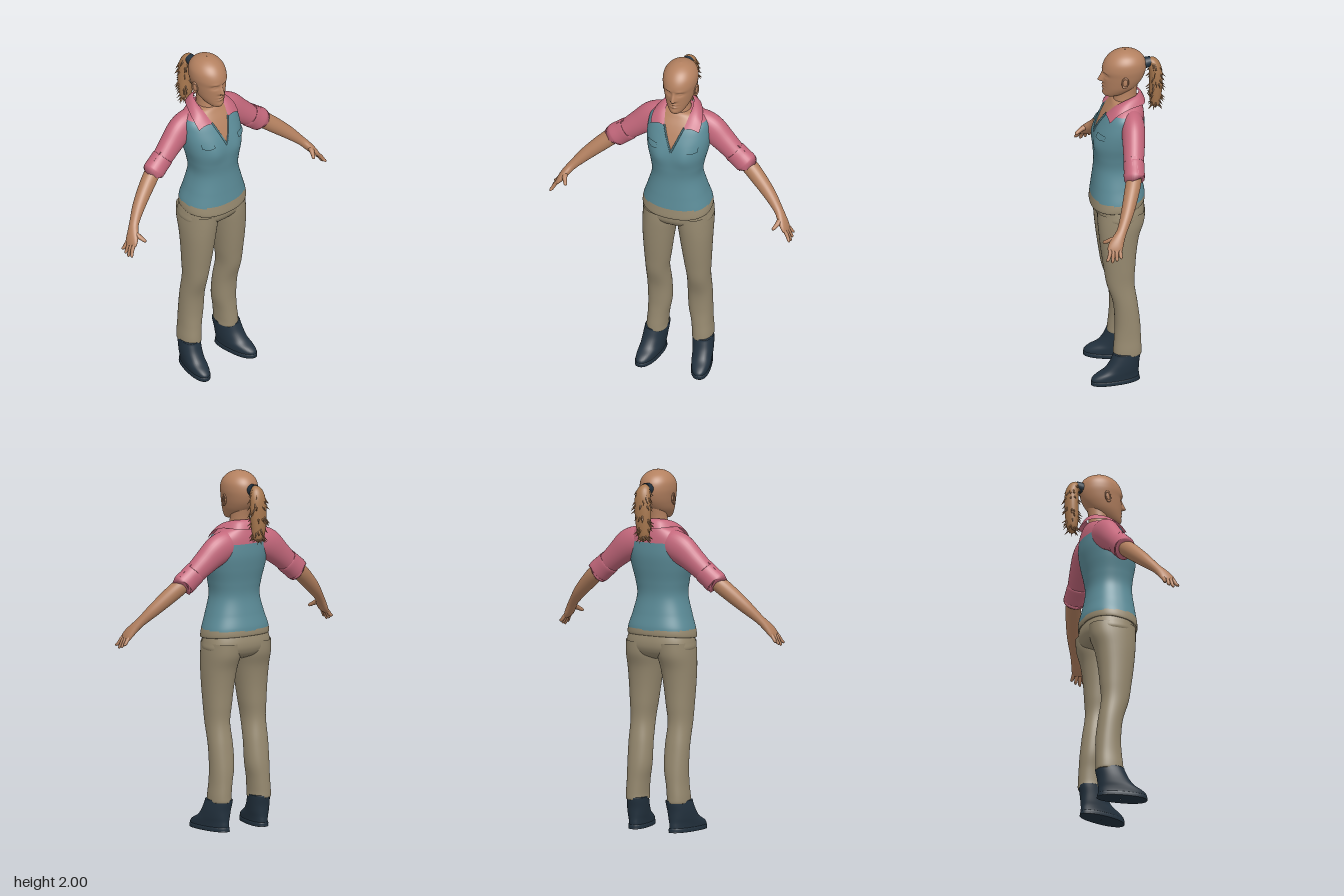
import * as THREE from 'three';
import { mergeGeometries, mergeVertices } from 'three/addons/utils/BufferGeometryUtils.js';

const mat = (name, color) => {
  const m = new THREE.MeshStandardMaterial({ color, side: THREE.DoubleSide });
  m.name = name;
  return m;
};
const V = (x, y, z) => new THREE.Vector3(x, y, z);
const bell = (d, s) => Math.exp(-(d * d) / (s * s));

// Smooth interpolation through rows of numbers; t runs from 0 to keys.length - 1
function spline(keys, t) {
  const n = keys.length - 1, i = Math.min(Math.floor(t), n - 1), f = t - i;
  const k = (j) => keys[Math.max(0, Math.min(n, j))];
  const [a, b, c, d] = [k(i - 1), k(i), k(i + 1), k(i + 2)];
  return b.map((p, j) => p + 0.5 * f * (c[j] - a[j] + f * (2 * a[j] - 5 * p + 4 * c[j] - d[j]
    + f * (3 * (p - c[j]) + d[j] - a[j]))));
}

// Grid surface from a point rule; paint(centre) picks a material group
function surface(fn, nu, nv, wrap = true, paint = null) {
  const pos = [], lists = [[], [], [], []], cols = wrap ? nu : nu + 1;
  for (let j = 0; j <= nv; j++) for (let i = 0; i < cols; i++) pos.push(fn(i / nu, j / nv));
  for (let j = 0; j < nv; j++) for (let i = 0; i < nu; i++) {
    const a = j * cols + i, b = j * cols + (i + 1) % cols, c = b + cols, d = a + cols;
    const mid = pos[a].clone().add(pos[c]).multiplyScalar(0.5);
    lists[paint ? paint(mid) : 0].push(a, b, c, a, c, d);
  }
  const g = new THREE.BufferGeometry().setFromPoints(pos);
  g.setIndex(lists.flat());
  if (paint) {
    let start = 0;
    lists.forEach((l, m) => { if (l.length) g.addGroup(start, l.length, m); start += l.length; });
  }
  g.computeVertexNormals();
  return g;
}

// Horizontal ring point; keys are [y, centreX, halfWidth, frontZ, backZ]
function ringPoint(keys, angle, t, p = 2) {
  const [y, cx, hw, zf, zb] = spline(keys, t);
  const pow = (q) => Math.sign(q) * Math.abs(q) ** (2 / p);
  return V(cx + hw * pow(Math.sin(angle)), Math.max(0, y), (zf + zb) / 2 + (zf - zb) / 2 * pow(Math.cos(angle)));
}
const rings = (keys, nu, sub, { p = 2, warp = (q) => q, paint } = {}) => surface(
  (u, v) => warp(ringPoint(keys, u * Math.PI * 2, v * (keys.length - 1), p)), nu, sub * (keys.length - 1), true, paint);

// Tapered limb along a path; keys are [x, y, z, thickness, depth]
function limb(keys, nu = 20, sub = 6) {
  const n = keys.length - 1;
  return surface((u, v) => {
    const t = v * n, k = spline(keys, t), a = u * Math.PI * 2;
    const dir = V(...spline(keys, Math.min(n, t + 0.02))).sub(V(...spline(keys, Math.max(0, t - 0.02)))).normalize();
    const Z = V(0, 0, 1).addScaledVector(dir, -dir.z).normalize(), X = dir.clone().cross(Z);
    return V(k[0], k[1], k[2]).addScaledVector(X, k[3] * Math.sin(a)).addScaledVector(Z, k[4] * Math.cos(a));
  }, nu, sub * n);
}

function mirrored(geo) {
  const g = geo.index ? geo.clone() : mergeVertices(geo);
  g.scale(-1, 1, 1);
  const ix = g.index.array;
  for (let i = 0; i < ix.length; i += 3) [ix[i], ix[i + 1]] = [ix[i + 1], ix[i]];
  return g;
}

export function createModel() {
  const group = new THREE.Group();
  const skin = mat('skin', 0xb48160), hair = mat('hair', 0xa8784f), pink = mat('pink cloth', 0xc4687c);
  const teal = mat('teal cloth', 0x5b8b97), khaki = mat('khaki cloth', 0x978a70), navy = mat('navy leather', 0x23323f);
  const add = (name, geo, m) => {
    const mesh = new THREE.Mesh(geo, m);
    mesh.name = name;
    group.add(mesh);
  };
  const pair = (name, geo, m) => { add(name + 'Left', geo, m); add(name + 'Right', mirrored(geo), m); };

  // Shirt body with hem band, pink yoke and open neck
  const torso = [[1.085, 0, .17, .175, -.08], [1.075, 0, .193, .198, -.1], [1.12, 0, .19, .197, -.1],
    [1.2, 0, .165, .186, -.085], [1.3, 0, .14, .176, -.068], [1.38, 0, .149, .178, -.075],
    [1.46, 0, .168, .179, -.09], [1.53, 0, .177, .165, -.1], [1.59, 0, .175, .14, -.1],
    [1.635, 0, .165, .115, -.096], [1.67, 0, .13, .09, -.088], [1.69, 0, .09, .075, -.08], [1.7, 0, .05, .06, -.065]];
  const shape = (q) => {
    if (q.z > 0.05) q.z += 0.012 * bell(Math.abs(q.x) - 0.08, 0.05) * bell(q.y - 1.46, 0.07);
    q.y -= (q.z - 0.05) * 0.1 * Math.max(0, Math.min(1, (1.2 - q.y) / 0.08));
    return q;
  };
  const shirtPaint = (q) => {
    if (q.y < 1.12) return 1;
    if (q.z > 0.02 && q.y > 1.5 && Math.abs(q.x) < (q.y - 1.5) * 0.41) return 2;
    return q.y > (q.z < 0 ? 1.605 : 1.65) ? 3 : 0;
  };
  add('shirt', rings(torso, 120, 10, { p: 2.3, warp: shape, paint: shirtPaint }), [teal, khaki, skin, pink]);

  // Chest pocket flaps that follow the shirt
  pair('pocketFlap', surface((u, v) => {
    const q = shape(ringPoint(torso, 0.4 + 0.48 * u, 6.72 + 0.42 * v - 0.1 * Math.sin(u * Math.PI) * (1 - v), 2.3));
    return q.add(V(0.004, 0, 0.007));
  }, 12, 4, false), teal);

  // Neckline edge
  pair('necklineEdge', new THREE.TubeGeometry(new THREE.CatmullRomCurve3(
    [V(.057, 1.64, .115), V(.026, 1.563, .155), V(0, 1.5, .175)]), 12, .005, 6), teal);

  // Folded collar, from the nape to the front points
  const inner = [[0, 1.735, -.072], [.05, 1.735, -.052], [.071, 1.722, 0], [.069, 1.69, .062], [.055, 1.632, .12]];
  const outer = [[0, 1.685, -.106], [.075, 1.69, -.09], [.122, 1.69, -.01], [.142, 1.662, .06], [.14, 1.618, .105]];
  pair('collar', surface((u, v) => {
    const q = V(...spline(inner, u * 4)).lerp(V(...spline(outer, u * 4)), v);
    q.y += 0.012 * Math.sin(v * Math.PI);
    return q;
  }, 24, 6, false), pink);

  // Sleeves with rolled cuffs and tabs
  pair('sleeve', limb([[.05, 1.6, -.02, .07, .055], [.11, 1.595, -.023, .083, .063], [.17, 1.57, -.022, .084, .064],
    [.24, 1.515, -.015, .07, .06], [.31, 1.455, -.006, .06, .055], [.35, 1.425, -.003, .058, .053]], 32, 6), pink);
  pair('sleeveCuff', limb([[.305, 1.46, -.006, .056, .05], [.308, 1.457, -.006, .065, .057],
    [.34, 1.431, -.004, .065, .057], [.372, 1.405, -.001, .066, .058], [.375, 1.402, -.001, .062, .055],
    [.37, 1.406, -.001, .042, .04]], 32, 4), pink);
  const tab = new THREE.BoxGeometry(.1, .008, .03);
  tab.rotateZ(-.68).translate(.371, 1.482, -.004);
  pair('sleeveTab', tab, pink);

  // Forearm, palm, fingers and thumb
  pair('forearm', limb([[.33, 1.445, -.003, .045, .043], [.39, 1.396, .005, .046, .043], [.45, 1.345, .025, .044, .041],
    [.53, 1.272, .058, .036, .035], [.595, 1.205, .094, .025, .028], [.625, 1.168, .118, .023, .034],
    [.648, 1.135, .137, .019, .041], [.664, 1.11, .147, .011, .036], [.667, 1.105, .148, .001, .01]], 28, 6), skin);
  const fingers = [[.112, .113, 1.078], [.132, .137, 1.064], [.151, .162, 1.056], [.169, .19, 1.066]];
  pair('fingers', mergeGeometries(fingers.map(([z0, z1, y]) => limb([[.652, 1.13, z0, .009, .009],
    [.67, 1.108, z0 + .002, .0105, .0105], [.684, (1.1 + y) / 2, (z0 + z1) / 2, .0095, .0095],
    [.691, y + .008, z1 - .002, .0075, .0075], [.691, y, z1, .001, .001]], 10, 4))), skin);
  pair('thumb', limb([[.622, 1.175, .125, .012, .012], [.62, 1.162, .155, .015, .014], [.61, 1.149, .18, .011, .011],
    [.602, 1.14, .195, .009, .009], [.599, 1.136, .202, .001, .001]], 12, 4), skin);

  // Neck
  add('neck', rings([[1.6, 0, .078, .085, -.08], [1.68, 0, .06, .07, -.064], [1.74, 0, .052, .056, -.06],
    [1.82, 0, .052, .055, -.075]], 40, 6), skin);

  // Head, with sockets, nose, lips and chin pushed out of its front
  const head = [[1.722, 0, .004, .1, .07], [1.726, 0, .03, .117, .04], [1.745, 0, .05, .124, -.01],
    [1.78, 0, .07, .124, -.058], [1.82, 0, .082, .126, -.09], [1.86, 0, .09, .127, -.107], [1.9, 0, .095, .128, -.113],
    [1.94, 0, .09, .112, -.105], [1.972, 0, .069, .083, -.08], [1.992, 0, .037, .045, -.04], [2, 0, .002, .005, .001]];
  const face = (q) => {
    if (q.z < 0.04) return q;
    const ax = Math.abs(q.x), ramp = Math.max(0, Math.min(1, (1.878 - q.y) / 0.055));
    const nose = q.y > 1.823 ? ramp : bell(q.y - 1.823, 0.009);
    q.z += 0.03 * nose * bell(ax, 0.008 + 0.007 * ramp)
      - 0.011 * bell(ax - 0.034, 0.02) * bell(q.y - 1.862, 0.013)
      + 0.005 * bell(ax - 0.034, 0.011) * bell(q.y - 1.86, 0.006)
      + 0.004 * bell(ax - 0.035, 0.025) * bell(q.y - 1.883, 0.009)
      + 0.007 * bell(ax, 0.02) * (bell(q.y - 1.792, 0.007) + bell(q.y - 1.776, 0.007))
      - 0.004 * bell(ax, 0.022) * bell(q.y - 1.784, 0.003)
      + 0.005 * bell(ax, 0.02) * bell(q.y - 1.745, 0.014);
    return q;
  };
  add('head', rings(head, 128, 10, { warp: face }), skin);

  // Ears
  const lobe = new THREE.SphereGeometry(1, 16, 12).scale(.008, .028, .016);
  const rim = new THREE.TorusGeometry(.022, .005, 8, 20).scale(.75, 1.3, 1).rotateY(Math.PI / 2).translate(.005, 0, 0);
  pair('ear', mergeGeometries([lobe, rim]).rotateY(-.3).rotateX(-.15).translate(.09, 1.84, .012), skin);

  // Hair tie and ponytail with loose tufts
  const tie = new THREE.CylinderGeometry(.027, .032, .04, 20).rotateX(-1.35).translate(-.005, 1.91, -.122);
  add('hairTie', tie, navy);
  const tail = [[-.005, 1.915, -.125, .018, .018], [-.005, 1.905, -.15, .03, .036], [-.005, 1.86, -.165, .036, .046],
    [-.008, 1.78, -.168, .036, .048], [-.01, 1.7, -.165, .034, .042], [-.01, 1.645, -.165, .024, .03],
    [-.01, 1.62, -.168, .002, .002]];
  const tailGeo = limb(tail.map(([x, y, z, w, d]) => [x, y, z, d, w]), 24, 6);
  add('ponytail', tailGeo, hair);
  let seed = 7;
  const rand = () => (seed = (seed * 16807) % 2147483647) / 2147483647;
  const tufts = [];
  for (let i = 0; i < 70; i++) {
    const [x, y, z, w, d] = spline(tail, 1 + 4.4 * rand()), a = rand() * Math.PI * 2;
    const dir = V(Math.sin(a), -1.6 + 0.9 * rand(), Math.cos(a)).normalize();
    const cone = new THREE.ConeGeometry(.008, .045, 5).translate(0, .01, 0);
    cone.applyQuaternion(new THREE.Quaternion().setFromUnitVectors(V(0, 1, 0), dir));
    tufts.push(cone.translate(x + d * .93 * Math.sin(a), y, z + w * .93 * Math.cos(a)));
  }
  add('ponytailTufts', mergeGeometries(tufts), hair);

  // Trousers: hips and two legs
  add('hips', rings([[.95, 0, .06, .08, -.01], [.975, 0, .15, .14, -.07], [1.01, 0, .195, .168, -.094],
    [1.05, 0, .194, .174, -.099], [1.1, 0, .182, .178, -.09]], 64, 6, { p: 2.4 }), khaki);
  pair('trouserLeg', rings([[.172, .13, .045, .07, -.055], [.165, .131, .057, .084, -.069], [.2, .131, .058, .084, -.07],
    [.27, .125, .059, .078, -.068], [.36, .117, .066, .075, -.064], [.48, .117, .067, .085, -.05],
    [.6, .119, .064, .12, -.033], [.7, .115, .073, .136, -.038], [.8, .111, .082, .15, -.046],
    [.9, .106, .091, .161, -.062], [.98, .1, .097, .167, -.088], [1.05, .098, .094, .168, -.095]], 40, 6, { p: 2.2 }), khaki);

  // Boots, turned slightly outward
  const turn = (q) => { q.x += (q.z - 0.03) * 0.16; return q; };
  pair('boot', rings([[0, .14, .002, .07, .06], [0, .14, .046, .195, -.05], [.012, .14, .052, .208, -.056],
    [.035, .14, .054, .208, -.057], [.055, .14, .056, .185, -.056], [.08, .14, .058, .14, -.057],
    [.12, .139, .06, .108, -.06], [.165, .136, .06, .088, -.068], [.178, .135, .057, .082, -.064],
    [.178, .134, .03, .04, -.03]], 40, 5, { p: 2.2, warp: turn }), navy);
  pair('bootSole', rings([[0, .14, .002, .07, .06], [0, .14, .05, .2, -.054], [.006, .14, .056, .211, -.059],
    [.022, .14, .056, .211, -.059], [.026, .14, .05, .2, -.05]], 40, 3, { p: 2.3, warp: turn }), navy);

  return group;
}
